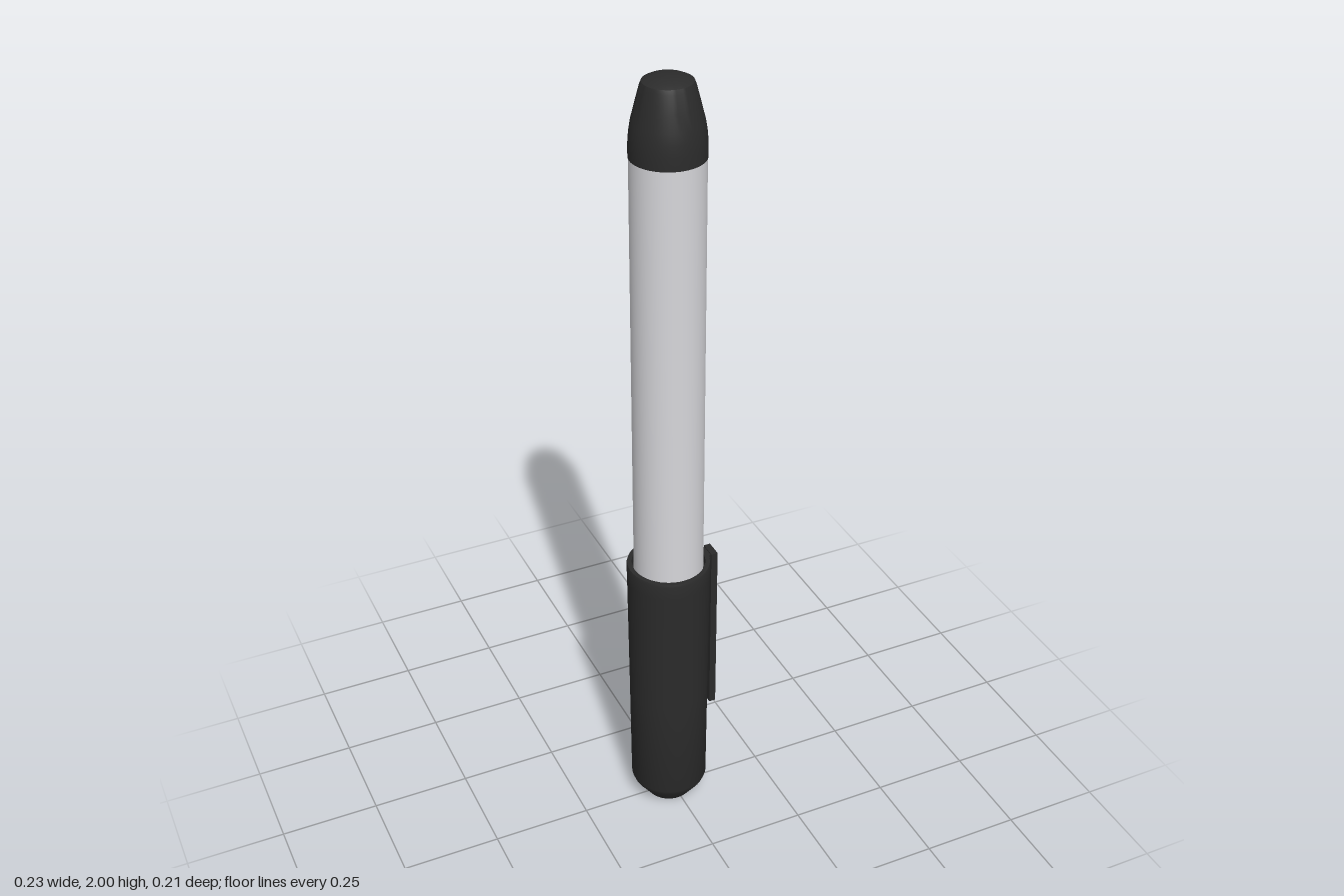
import * as THREE from 'three';
import { toCreasedNormals } from 'three/addons/utils/BufferGeometryUtils.js';

const AXIS_X = -0.01; // the barrel sits slightly off centre because of the clip

function material(name, color) {
  const m = new THREE.MeshStandardMaterial({ color });
  m.name = name;
  return m;
}

export function createModel() {
  const black = material('black plastic', 0x2b2b2b);
  const silver = material('pale grey barrel', 0xd6d6da);
  const pen = new THREE.Group();
  pen.name = 'pen';

  const add = (name, geometry, mat, x, y = 0, z = 0) => {
    const mesh = new THREE.Mesh(geometry, mat);
    mesh.name = name;
    mesh.position.set(x, y, z);
    pen.add(mesh);
  };
  // Profiles run from bottom to top as [radius, height]
  const turned = (name, profile, mat) => {
    const points = profile.map(([r, y]) => new THREE.Vector2(r, y));
    add(name, toCreasedNormals(new THREE.LatheGeometry(points, 48), 0.45), mat, AXIS_X);
  };
  const box = (name, x0, x1, y0, y1, depth) =>
    add(name, new THREE.BoxGeometry(x1 - x0, y1 - y0, depth), black, (x0 + x1) / 2, (y0 + y1) / 2);

  // Cap with chamfered closed end and an open rim
  turned('cap', [
    [0, 0], [0.052, 0], [0.06, 0.004], [0.093, 0.05], [0.098, 0.063],
    [0.1, 0.35], [0.103, 0.7], [0.104, 0.738], [0.102, 0.745],
    [0.091, 0.745], [0.09, 0.725], [0.084, 0.725],
  ], black);

  // Main barrel
  turned('barrel', [[0.086, 0.7], [0.086, 1.82]], silver);

  // Rounded, tapering end plug
  turned('endPlug', [
    [0.084, 1.818], [0.087, 1.818], [0.087, 1.848], [0.085, 1.875], [0.081, 1.9],
    [0.071, 1.94], [0.061, 1.978], [0.057, 1.988], [0.045, 1.994], [0.025, 1.999], [0, 2],
  ], black);

  // Pocket clip and the bridge holding it to the cap
  box('clip', 0.097, 0.114, 0.27, 0.745, 0.044);
  box('clipBridge', 0.085, 0.099, 0.69, 0.742, 0.036);

  return pen;
}
